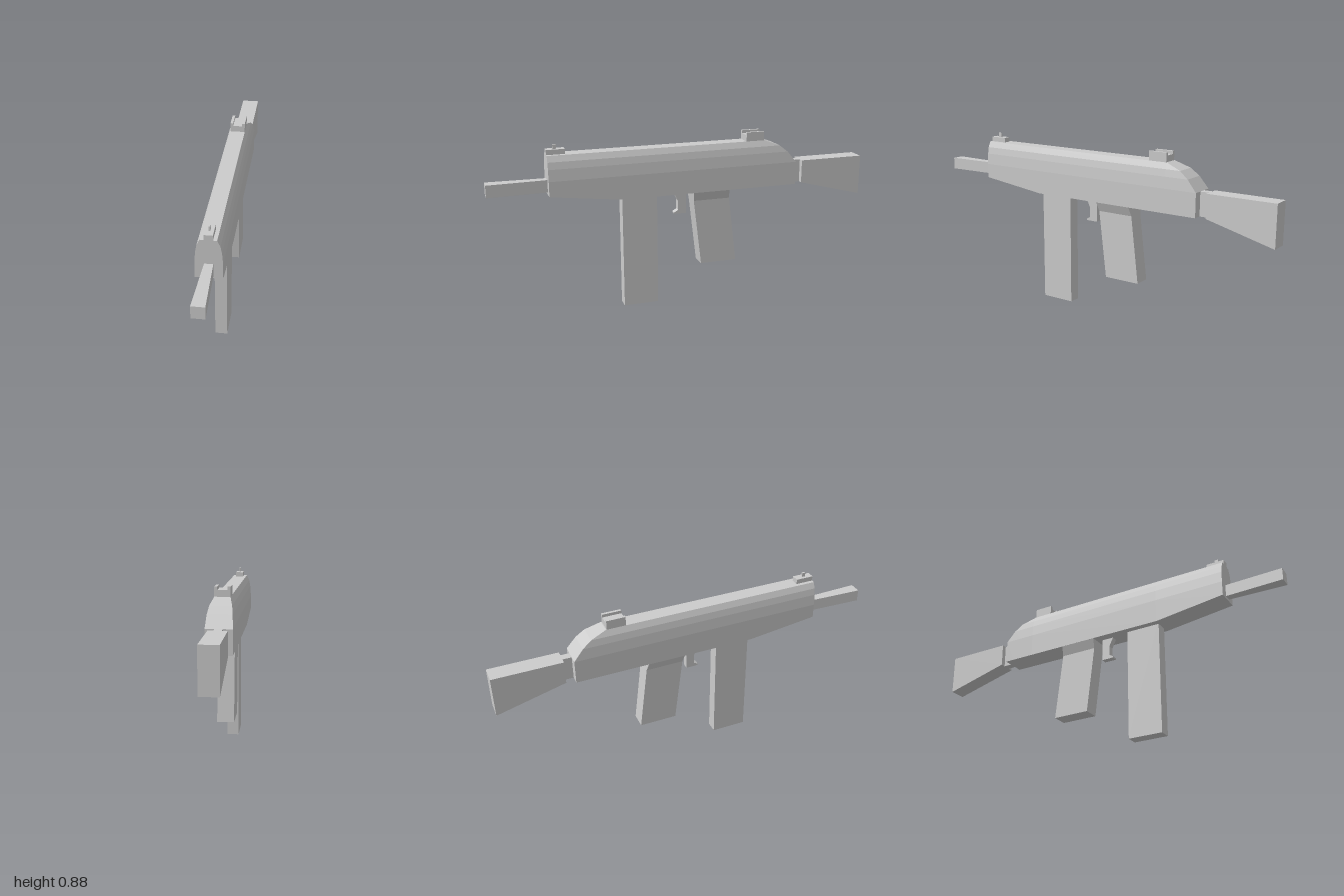
import * as THREE from 'three';

const material = new THREE.MeshStandardMaterial({ color: 0xcccccc, flatShading: true });

// Closed solid through equal-length rings; rings run counter-clockwise seen from the first end.
function loft(rings) {
  const pos = [];
  const tri = (a, b, c) => pos.push(...a, ...b, ...c);
  const n = rings[0].length;
  for (let i = 0; i < rings.length - 1; i++) {
    for (let j = 0; j < n; j++) {
      const k = (j + 1) % n;
      const a = rings[i][j], b = rings[i][k], c = rings[i + 1][j], d = rings[i + 1][k];
      tri(a, c, b);
      tri(b, c, d);
    }
  }
  const first = rings[0], last = rings[rings.length - 1];
  for (let j = 1; j < n - 1; j++) {
    tri(first[0], first[j], first[j + 1]);
    tri(last[0], last[j + 1], last[j]);
  }
  const g = new THREE.BufferGeometry();
  g.setAttribute('position', new THREE.Float32BufferAttribute(pos, 3));
  g.computeVertexNormals();
  return g;
}

// Upright rectangle at depth z
const rectZ = (hx, y0, y1, z) => [[hx, y0, z], [hx, y1, z], [-hx, y1, z], [-hx, y0, z]];
// Level rectangle at height y
const rectY = (hx, zFront, zBack, y) => [[-hx, y, zFront], [hx, y, zFront], [hx, y, zBack], [-hx, y, zBack]];

function box(x0, x1, y0, y1, z0, z1) {
  return new THREE.BoxGeometry(x1 - x0, y1 - y0, z1 - z0)
    .translate((x0 + x1) / 2, (y0 + y1) / 2, (z0 + z1) / 2);
}

function extrude(points, depth) {
  const shape = new THREE.Shape(points.map(([x, y]) => new THREE.Vector2(x, y)));
  return new THREE.ExtrudeGeometry(shape, { depth, bevelEnabled: false }).translate(0, 0, -depth / 2);
}

export function createModel() {
  const model = new THREE.Group();
  const add = (name, geometry) => {
    const mesh = new THREE.Mesh(geometry, material);
    mesh.name = name;
    model.add(mesh);
  };

  // Body: arched section, cut down along the rear slope
  const levels = [[0.707, 0.063], [0.765, 0.0585], [0.8, 0.052], [0.83, 0.038]];
  const stations = [ // z, bottom, top
    [0.705, 0.632, 0.83], [0.34, 0.586, 0.83], [-0.43, 0.586, 0.83],
    [-0.51, 0.586, 0.8], [-0.555, 0.586, 0.765], [-0.603, 0.586, 0.707],
  ];
  add('body', loft(stations.map(([z, bottom, top]) => {
    const side = [[0.063, bottom]];
    for (const [y, w] of levels) {
      const capped = levels.find((l) => l[0] === top);
      side.push(y > top ? [capped[1], top] : [w, y]);
    }
    const right = side.map(([x, y]) => [x, y, z]);
    const left = side.map(([x, y]) => [-x, y, z]).reverse();
    return [...right, ...left];
  })));

  // Barrel widens toward the front
  add('barrel', loft([rectZ(0.031, 0.645, 0.707, 1), rectZ(0.02, 0.645, 0.707, 0.7)]));

  // Stock and its narrow neck
  add('stockNeck', box(-0.019, 0.019, 0.586, 0.707, -0.66, -0.59));
  add('stock', loft([rectZ(0.045, 0.586, 0.707, -0.648), rectZ(0.045, 0.495, 0.707, -1)]));

  // Magazine
  add('magazine', box(-0.031, 0.031, 0, 0.6, 0.155, 0.337));

  // Grip flares out to the body width at the top
  add('grip', loft([
    rectY(0.063, -0.033, -0.228, 0.587),
    rectY(0.042, -0.039, -0.234, 0.538),
    rectY(0.042, -0.081, -0.276, 0.19),
  ]));

  // Trigger, profile drawn in z and y
  add('trigger', extrude([
    [0.062, 0.59], [0.038, 0.54], [0.038, 0.49], [0.06, 0.477],
    [0.058, 0.47], [-0.005, 0.47], [-0.005, 0.59],
  ].reverse(), 0.032).rotateY(-Math.PI / 2));

  // Front sight
  add('frontSightBase', box(-0.02, 0.02, 0.825, 0.855, 0.613, 0.705));
  add('frontSightPost', box(-0.004, 0.004, 0.85, 0.877, 0.652, 0.67));

  // Rear sight: notched block
  add('rearSight', extrude([
    [-0.038, 0.825], [0.038, 0.825], [0.038, 0.877], [0.024, 0.877],
    [0.024, 0.862], [-0.024, 0.862], [-0.024, 0.877], [-0.038, 0.877],
  ], 0.097).translate(0, 0, -0.377));

  return model;
}
